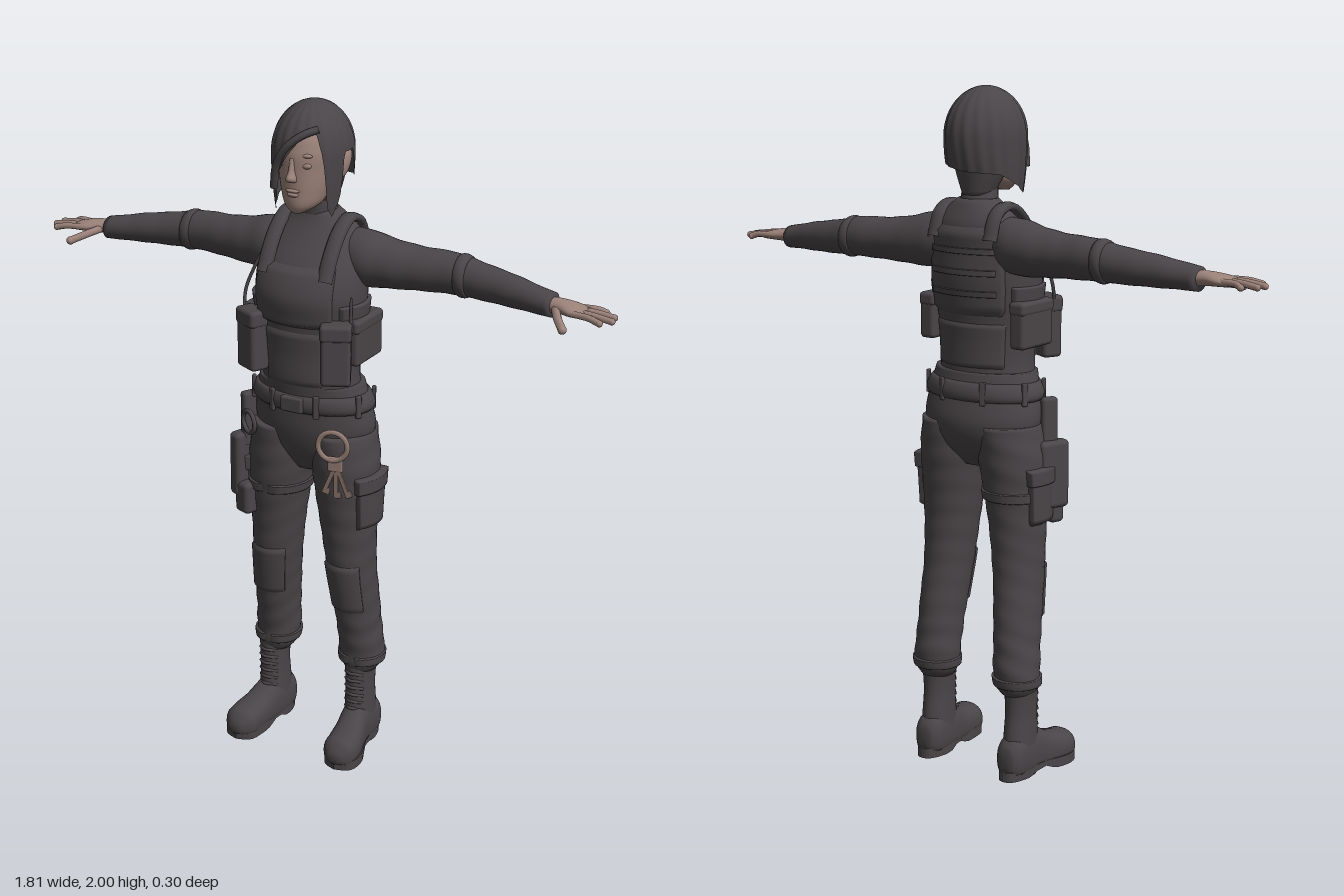
import * as THREE from 'three';
import { RoundedBoxGeometry } from 'three/addons/geometries/RoundedBoxGeometry.js';

const mat = (name, color) => Object.assign(new THREE.MeshStandardMaterial({ color, side: THREE.DoubleSide }), { name });
const { sin, cos, PI, abs, sign, min, max, sqrt } = Math;

// Smooth interpolation through rows of [t, ...values]
function profile(rows, Type = THREE.CubicInterpolant) {
  const f = new Type(rows.map(r => r[0]), rows.flatMap(r => r.slice(1)), rows[0].length - 1);
  return t => Array.from(f.evaluate(t));
}

// Surface from a point rule p(u, v); closed joins u = 1 to u = 0
function grid(p, nu, nv, closed) {
  const pos = [], idx = [], w = closed ? nu : nu + 1;
  for (let j = 0; j <= nv; j++) for (let i = 0; i < w; i++) pos.push(...p(i / nu, j / nv));
  for (let j = 0; j < nv; j++) for (let i = 0; i < nu; i++) {
    const a = j * w + i, b = j * w + (i + 1) % w;
    idx.push(a, b, b + w, a, b + w, a + w);
  }
  const g = new THREE.BufferGeometry();
  g.setAttribute('position', new THREE.Float32BufferAttribute(pos, 3));
  g.setIndex(idx);
  g.computeVertexNormals();
  return g;
}

// Capped loft of rounded sections along an axis: rows of [t, centre1, centre2, radius1, radius2]
const round = (x, e) => sign(x) * abs(x) ** e;
function loft(axis, rows, { nu = 32, nv = 40, e = 1, ripple = () => 1 } = {}) {
  const f = profile(rows), t0 = rows[0][0], t1 = rows[rows.length - 1][0];
  return grid((u, v) => {
    const k = min(1, max(0, (v * (nv + 2) - 1) / nv)), t = t0 + (t1 - t0) * k;
    const [c1, c2, r1, r2] = f(t), a = u * 2 * PI;
    const q = (v === 0 || v === 1) ? 0 : ripple(t, a);
    const S = round(sin(a), e) * q, C = round(cos(a), e) * q;
    if (axis === 'y') return [c1 + r1 * S, t, c2 + r2 * C];
    if (axis === 'x') return [t, c1 + r1 * C, c2 + r2 * S];
    return [c1 + r1 * C, max(0.02, c2 + r2 * S), t];
  }, nu, nv + 2, true);
}

// Raised panel following a body profile between two angles and heights
function panel(rows, a0, a1, y0, y1, off, dx = 0) {
  const f = profile(rows);
  return grid((u, v) => {
    const a = a0 + (a1 - a0) * u, y = y0 + (y1 - y0) * v, [cx, cz, rx, rz] = f(y);
    const edge = u === 0 || u === 1 || v === 0 || v === 1;
    const o = edge ? -0.004 : off;
    return [cx + dx * (1 - y) + (rx + o) * sin(a), y, cz + (rz + o) * cos(a)];
  }, 24, 14);
}

// Mirror a geometry to the other side, keeping faces outward
function flip(g) {
  g = (g.index ? g.toNonIndexed() : g.clone()).scale(-1, 1, 1);
  for (const k of ['position', 'normal']) {
    const b = g.attributes[k], p = new THREE.Vector3(), q = new THREE.Vector3();
    for (let i = 0; i < b.count; i += 3) {
      p.fromBufferAttribute(b, i); q.fromBufferAttribute(b, i + 1);
      b.setXYZ(i, q.x, q.y, q.z); b.setXYZ(i + 1, p.x, p.y, p.z);
    }
  }
  return g;
}

const tube = (pts, r, n = 24) => new THREE.TubeGeometry(
  new THREE.CatmullRomCurve3(pts.map(p => new THREE.Vector3(...p))), n, r, 8);
const box = (w, h, d, x, y, z, ry = 0, r = 0.012) =>
  new RoundedBoxGeometry(w, h, d, 3, r).rotateY(ry).translate(x, y, z);
const ball = (rx, ry, rz, x, y, z) => new THREE.SphereGeometry(1, 20, 14).scale(rx, ry, rz).translate(x, y, z);

const TORSO = [[1.15, 0, -0.005, 0.155, 0.108], [1.22, 0, 0, 0.147, 0.112], [1.3, 0, 0, 0.15, 0.113],
  [1.4, 0, 0, 0.163, 0.122], [1.47, 0, 0, 0.168, 0.13], [1.55, 0, -0.015, 0.162, 0.113],
  [1.62, 0, -0.042, 0.138, 0.088], [1.66, 0, -0.047, 0.1, 0.066], [1.69, 0, -0.045, 0.06, 0.052]];
const PELVIS = [[0.92, 0, -0.02, 0.07, 0.06], [0.98, 0, -0.025, 0.15, 0.1], [1.05, 0, -0.025, 0.187, 0.12],
  [1.13, 0, -0.015, 0.18, 0.115], [1.2, 0, -0.005, 0.163, 0.11]];
const LEG = [[0.25, 0.138, -0.064, 0.045, 0.05], [0.275, 0.138, -0.068, 0.063, 0.064], [0.32, 0.137, -0.07, 0.068, 0.07],
  [0.4, 0.133, -0.06, 0.066, 0.075], [0.5, 0.128, -0.045, 0.068, 0.08], [0.6, 0.122, -0.03, 0.072, 0.082],
  [0.75, 0.115, -0.02, 0.083, 0.088], [0.85, 0.11, -0.018, 0.092, 0.098], [0.95, 0.105, -0.02, 0.099, 0.108],
  [1.05, 0.1, -0.022, 0.088, 0.113]];
const ARM = [[0.07, 1.57, -0.05, 0.07, 0.06], [0.15, 1.562, -0.05, 0.08, 0.076], [0.22, 1.555, -0.055, 0.071, 0.07],
  [0.3, 1.552, -0.062, 0.063, 0.06], [0.42, 1.551, -0.072, 0.058, 0.053], [0.5, 1.543, -0.068, 0.051, 0.049],
  [0.6, 1.535, -0.055, 0.044, 0.044], [0.7, 1.525, -0.04, 0.035, 0.038], [0.72, 1.523, -0.038, 0.034, 0.037]];

export function createModel() {
  const model = new THREE.Group();
  const cloth = mat('charcoal', 0x4a4548), skin = mat('skin', 0x9c837a), brass = mat('key metal', 0x917a71);
  const add = (name, g, m = cloth) => {
    const mesh = new THREE.Mesh(g, m);
    mesh.name = name;
    model.add(mesh);
  };
  const pair = (name, g, m) => { add(name + 'Left', g, m); add(name + 'Right', flip(g), m); };

  // Torso, collar and vest panels
  add('torso', loft('y', TORSO, { nu: 48 }));
  add('collar', loft('y', [[1.62, 0, -0.045, 0.066, 0.06], [1.68, 0, -0.042, 0.056, 0.053], [1.72, 0, -0.035, 0.05, 0.05], [1.75, 0, -0.03, 0.048, 0.048]]));
  add('chestPlate', panel(TORSO, -0.8, 0.8, 1.38, 1.555, 0.013));
  add('bellyPlate', panel(TORSO, -0.65, 0.65, 1.2, 1.37, 0.006));
  add('backPlate', panel(TORSO, PI - 0.85, PI + 0.85, 1.36, 1.62, 0.012));
  add('lowerBackPlate', panel(TORSO, PI - 0.9, PI + 0.9, 1.21, 1.345, 0.006));
  for (const y of [1.42, 1.48, 1.54]) add('backWebbing', panel(TORSO, PI - 0.7, PI + 0.7, y, y + 0.02, 0.018));
  pair('sideStrap', panel(TORSO, 0.9, 2.2, 1.4, 1.45, 0.01));
  pair('shoulderStrap', tube([[0, 1.52, 0.1], [0, 1.585, 0.066], [0, 1.645, 0.015], [0, 1.672, -0.04], [0, 1.65, -0.095], [0, 1.58, -0.125]], 0.013)
    .scale(1.9, 1, 1).translate(0.097, 0, 0));

  // Vest pouches
  pair('frontPouch', box(0.085, 0.17, 0.06, 0.135, 1.315, 0.1, 0.45));
  pair('frontPouchFlap', box(0.09, 0.05, 0.066, 0.135, 1.385, 0.1, 0.45));
  pair('sidePouch', box(0.05, 0.13, 0.15, 0.16, 1.34, -0.01));
  pair('sidePouchFlap', box(0.054, 0.04, 0.155, 0.16, 1.39, -0.01));
  add('radioAerial', new THREE.CylinderGeometry(0.004, 0.006, 0.1, 8).translate(0.166, 1.43, 0.07));
  add('radioCable', tube([[-0.17, 1.38, 0.09], [-0.175, 1.45, 0.07], [-0.15, 1.52, 0.06], [-0.11, 1.6, 0.05]], 0.005));

  // Sleeves and hands
  pair('sleeve', loft('x', ARM, { ripple: (t, a) => 1 + 0.012 * sin(t * 75 + 2 * sin(a)) }));
  pair('elbowBand', loft('x', [[0.425, 1.551, -0.072, 0.057, 0.052], [0.435, 1.55, -0.072, 0.061, 0.056], [0.45, 1.548, -0.072, 0.06, 0.056], [0.46, 1.547, -0.071, 0.055, 0.051]], { nv: 6 }));
  pair('palm', loft('x', [[0.7, 1.523, -0.036, 0.022, 0.025], [0.74, 1.526, -0.033, 0.02, 0.03], [0.78, 1.524, -0.028, 0.017, 0.042], [0.82, 1.52, -0.024, 0.012, 0.038]], { nv: 12 }));
  for (const [z, tip, tz] of [[-0.056, 0.865, -0.068], [-0.034, 0.898, -0.04], [-0.012, 0.903, -0.008], [0.008, 0.88, 0.022]]) {
    pair('finger', tube([[0.79, 1.524, z], [0.84, 1.523, (z + tz) / 2], [tip - 0.006, 1.516, tz]], 0.0095, 10), skin);
    pair('fingertip', ball(0.0095, 0.0095, 0.0095, tip - 0.007, 1.516, tz), skin);
  }
  pair('thumb', tube([[0.735, 1.522, -0.015], [0.76, 1.512, 0.03], [0.79, 1.498, 0.068]], 0.012, 10), skin);
  pair('thumbTip', ball(0.012, 0.012, 0.012, 0.79, 1.498, 0.068), skin);
  model.children.filter(c => c.name.startsWith('palm')).forEach(c => { c.material = skin; });

  // Head and face
  add('head', loft('y', [[1.703, 0, 0.075, 0.018, 0.018], [1.72, 0, 0.05, 0.045, 0.052], [1.76, 0, 0.03, 0.066, 0.076],
    [1.82, 0, 0.012, 0.08, 0.096], [1.88, 0, 0, 0.086, 0.106], [1.94, 0, -0.008, 0.066, 0.085], [1.965, 0, -0.01, 0.03, 0.04]]), skin);
  add('nose', loft('y', [[1.795, 0, 0.108, 0.013, 0.012], [1.803, 0, 0.11, 0.015, 0.021], [1.82, 0, 0.108, 0.01, 0.015], [1.86, 0, 0.104, 0.007, 0.006]], { nv: 12 }), skin);
  add('upperLip', ball(0.022, 0.006, 0.009, 0, 1.769, 0.104), skin);
  add('lowerLip', ball(0.018, 0.007, 0.009, 0, 1.758, 0.103), skin);
  for (const s of [-1, 1]) {
    add('eyelid', ball(0.017, 0.009, 0.01, s * 0.035, 1.84, 0.092), skin);
    add('brow', ball(0.022, 0.006, 0.008, s * 0.035, 1.868, 0.094), skin);
  }
  add('ear', ball(0.012, 0.042, 0.022, 0, 0, 0).rotateX(-0.3).rotateZ(-0.15).translate(0.095, 1.832, -0.02), skin);

  // Bobbed hair: a dome whose lower edge changes around the head
  const edge = profile([[-180, 1.77], [-120, 1.76], [-90, 1.73], [-62, 1.7], [-46, 1.7], [-33, 1.75], [-25, 1.81], [0, 1.88], [22, 1.93],
    [38, 1.93], [47, 1.86], [54, 1.72], [64, 1.69], [74, 1.74], [82, 1.87], [104, 1.87], [114, 1.79], [180, 1.77]], THREE.LinearInterpolant);
  add('hair', grid((u, v) => {
    const d = u * 360 - 180, a = d * PI / 180, low = edge(d)[0];
    const y = low + (2 - low) * sin(v * PI / 2);
    const up = max(0, (y - 1.86) / 0.14), down = max(0, (1.86 - y) / 0.16);
    const r = sqrt(max(0, 1 - up * up)) * (1 + 0.014 * sin(18 * a + 9 * y));
    const back = cos(a) < 0 ? 0.3 : 0.1;
    return [0.111 * r * (1 - 0.1 * down * down) * sin(a), y, -0.01 + 0.129 * r * (1 - back * down * down) * cos(a)];
  }, 120, 28, true));
  add('fringe', tube([[0.06, 1.938, 0.07], [0.03, 1.925, 0.1], [-0.01, 1.892, 0.117], [-0.045, 1.84, 0.113], [-0.062, 1.77, 0.1]], 0.011));
  add('nape', loft('y', [[1.7, 0, -0.045, 0.045, 0.048], [1.76, 0, -0.035, 0.07, 0.07], [1.82, 0, -0.03, 0.085, 0.09]], { nv: 10 }));

  // Hips, belt and fittings
  add('hips', loft('y', PELVIS, { nu: 48 }));
  add('belt', loft('y', [[1.12, 0, -0.015, 0.184, 0.119], [1.128, 0, -0.014, 0.19, 0.124], [1.165, 0, -0.01, 0.181, 0.121], [1.173, 0, -0.009, 0.173, 0.115]], { nu: 48, nv: 8 }));
  add('buckle', box(0.07, 0.045, 0.02, 0, 1.147, 0.112, 0, 0.006));
  for (let i = 0; i < 8; i++) {
    const a = (i + 0.5) * PI / 4;
    add('beltLoop', box(0.018, 0.068, 0.012, 0.187 * sin(a), 1.145, -0.012 + 0.121 * cos(a), a, 0.004));
  }

  // Trousers and boots; the right leg stands a little wider
  for (const [side, dx] of [['Left', 0], ['Right', 0.028]]) {
    const put = (name, g) => add(name + side, dx ? flip(g) : g);
    const rows = LEG.map(([y, x, ...r]) => [y, x + dx * (1 - y), ...r]);
    put('trouserLeg', loft('y', rows, { nv: 70, ripple: (y, a) =>
      1 + 0.02 * sin(y * 85 + 3 * sin(a + 1)) * (y < 0.45 ? 1 : 0.45) }));
    put('cuff', panel(rows, 0, 2 * PI, 0.28, 0.31, 0.006));
    put('kneePatch', panel(rows, -0.9, 0.9, 0.47, 0.64, 0.006));
    put('cargoPocket', panel(rows, 0.8, 2.1, 0.76, 0.92, 0.016));
    put('cargoFlap', panel(rows, 0.75, 2.15, 0.88, 0.93, 0.022));
    const x = 0.138 + dx;
    put('bootShaft', loft('y', [[0.06, x, -0.06, 0.045, 0.07], [0.13, x, -0.062, 0.043, 0.062], [0.2, x, -0.06, 0.042, 0.056], [0.28, x, -0.062, 0.047, 0.056]]));
    put('bootFoot', loft('z', [[-0.142, x, 0.06, 0.025, 0.035], [-0.125, x, 0.06, 0.04, 0.06], [-0.08, x, 0.06, 0.046, 0.08],
      [-0.02, x + 0.003, 0.06, 0.046, 0.08], [0.03, x + 0.012, 0.05, 0.05, 0.062], [0.08, x + 0.02, 0.045, 0.054, 0.052],
      [0.125, x + 0.022, 0.042, 0.046, 0.044], [0.148, x + 0.022, 0.038, 0.02, 0.018]], { e: 0.85 }));
    const sole = new THREE.Shape(new THREE.SplineCurve([[0, 0.145], [0.045, 0.125], [0.056, 0.07], [0.045, 0], [0.042, -0.09], [0.02, -0.143],
      [-0.02, -0.143], [-0.042, -0.09], [-0.043, 0], [-0.054, 0.07], [-0.043, 0.125], [0, 0.145]].map(p => new THREE.Vector2(...p))).getPoints(40));
    const slab = new THREE.ExtrudeGeometry(sole, { depth: 0.03, bevelEnabled: false }).rotateX(PI / 2).translate(0, 0.03, 0);
    const p = slab.attributes.position;
    for (let i = 0; i < p.count; i++) {
      const z = p.getZ(i);
      p.setX(i, p.getX(i) + x + 0.022 * THREE.MathUtils.smoothstep(z, -0.06, 0.1));
      if (p.getY(i) < 0.01) p.setY(i, 0.02 * max(0, 1 - abs(z + 0.015) / 0.045));
    }
    slab.computeVertexNormals();
    put('bootSole', slab);
    for (let i = 0; i < 6; i++) {
      const y = 0.125 + i * 0.024;
      put('bootLace', tube([[x - 0.03, y, -0.022], [x, y + 0.008, 0.002], [x + 0.03, y, -0.022]], 0.005, 8));
    }
  }

  // Right thigh holster with cord loop
  add('holster', box(0.045, 0.2, 0.1, -0.203, 0.9, 0.035, -0.35, 0.015));
  add('holsterTip', box(0.06, 0.1, 0.05, -0.185, 0.8, 0.065, -0.35, 0.015));
  add('holsterHanger', box(0.03, 0.17, 0.05, -0.19, 1.04, 0.035, -0.5, 0.01));
  add('holsterStrap', panel(LEG.map(([y, x, ...r]) => [y, -x - 0.028 * (1 - y), ...r]), 0, 2 * PI, 0.83, 0.86, 0.007));
  add('cordLoop', new THREE.TorusGeometry(0.033, 0.007, 8, 28).rotateY(-0.5).translate(-0.168, 1.045, 0.075));

  // Key ring on the left hip
  add('keyRing', new THREE.TorusGeometry(0.043, 0.008, 8, 32).rotateY(0.25).translate(0.128, 1.04, 0.103), brass);
  add('keyHub', box(0.045, 0.045, 0.012, 0.135, 0.985, 0.1, 0.2, 0.005), brass);
  for (const t of [-0.4, 0, 0.4]) {
    add('keyShank', box(0.014, 0.1, 0.006, 0, -0.055, 0, 0, 0.002).rotateZ(t).translate(0.138, 0.985, 0.1), brass);
    add('keyBit', box(0.022, 0.02, 0.006, 0.006, -0.093, 0, 0, 0.002).rotateZ(t).translate(0.138, 0.985, 0.1), brass);
  }
  return model;
}
